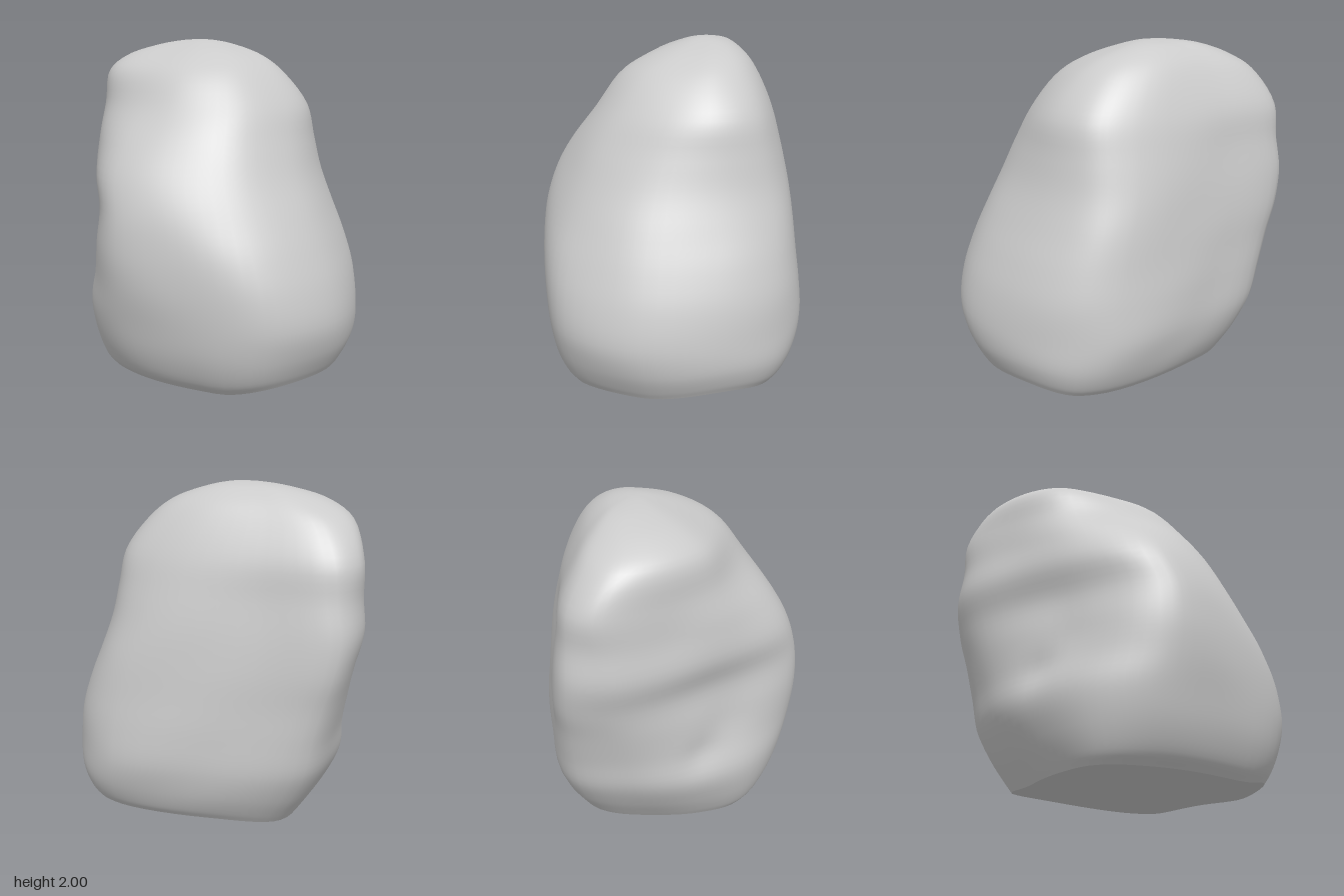
import * as THREE from 'three';
import { mergeVertices } from 'three/addons/utils/BufferGeometryUtils.js';

const AROUND = 72, UP = 64;

// Plan outlines at five heights: left, back, right, front (x, z pairs)
const outlines = [
  { y: 0, p: [-0.56, -0.02, -0.56, -0.4, -0.2, -0.61, 0.35, -0.73, 0.62, -0.64, 0.81, -0.38,
    0.88, 0, 0.74, 0.4, 0.35, 0.57, -0.05, 0.61, -0.36, 0.52, -0.5, 0.28] },
  { y: 0.4, p: [-0.8, -0.08, -0.78, -0.46, -0.3, -0.69, 0.3, -0.83, 0.6, -0.72, 0.86, -0.41,
    0.98, 0.05, 0.82, 0.5, 0.35, 0.72, -0.1, 0.78, -0.47, 0.59, -0.7, 0.26] },
  { y: 1.0, p: [-0.94, -0.18, -0.93, -0.46, -0.5, -0.61, 0.2, -0.76, 0.45, -0.69, 0.66, -0.41,
    0.79, 0.05, 0.65, 0.47, 0.3, 0.74, -0.05, 0.82, -0.42, 0.55, -0.71, 0.2] },
  { y: 1.6, p: [-0.96, -0.24, -0.88, -0.41, -0.45, -0.52, 0.1, -0.6, 0.36, -0.54, 0.5, -0.35,
    0.53, -0.08, 0.43, 0.25, 0.15, 0.45, -0.15, 0.48, -0.51, 0.36, -0.81, 0.06] },
  { y: 1.9, p: [-0.7, -0.14, -0.61, -0.29, -0.4, -0.36, -0.08, -0.42, 0.1, -0.38, 0.19, -0.28,
    0.2, -0.15, 0.16, 0.02, 0.03, 0.14, -0.2, 0.18, -0.48, 0.17, -0.65, 0.03] },
];

// Extents per height: y, xMin, xMax, zMin, zMax
const levels = [
  [0, -0.56, 0.87, -0.71, 0.6], [0.06, -0.6, 0.9, -0.75, 0.66], [0.2, -0.69, 0.95, -0.8, 0.73],
  [0.4, -0.79, 0.98, -0.83, 0.785], [0.6, -0.83, 0.95, -0.82, 0.82], [0.8, -0.88, 0.88, -0.79, 0.835],
  [1.0, -0.94, 0.79, -0.755, 0.82], [1.2, -0.98, 0.69, -0.71, 0.76], [1.4, -0.96, 0.61, -0.66, 0.64],
  [1.6, -0.96, 0.53, -0.6, 0.48], [1.8, -0.86, 0.37, -0.5, 0.34], [1.9, -0.7, 0.22, -0.42, 0.19],
  [1.97, -0.48, 0.02, -0.31, 0.01], [1.995, -0.3, -0.1, -0.21, -0.09],
];

// Hollows: x, y, z, radius, depth
const dents = [
  [-0.5, 0.76, 0.45, 0.2, 0.03], [-0.65, 0.57, 0.32, 0.11, 0.025],
  [-0.58, 1.08, 0.36, 0.28, 0.02], [-0.76, 1.42, 0.13, 0.2, 0.015],
];

const toLoop = (p) => {
  const pts = [];
  for (let i = 0; i < p.length; i += 2) pts.push(new THREE.Vector3(p[i], 0, p[i + 1]));
  return new THREE.CatmullRomCurve3(pts, true, 'centripetal');
};
const loops = outlines.map((o) => toLoop(o.p));

// One ring: blend neighbouring outlines, then fit them to the extents
function ring([y, x0, x1, z0, z1]) {
  let k = 0;
  while (k < outlines.length - 2 && y > outlines[k + 1].y) k++;
  const f = THREE.MathUtils.clamp((y - outlines[k].y) / (outlines[k + 1].y - outlines[k].y), 0, 1);
  const pts = [];
  for (let j = 0; j < AROUND; j++) {
    pts.push(loops[k].getPoint(j / AROUND).lerp(loops[k + 1].getPoint(j / AROUND), f));
  }
  const box = new THREE.Box3().setFromPoints(pts);
  return pts.map((p) => new THREE.Vector3(
    THREE.MathUtils.mapLinear(p.x, box.min.x, box.max.x, x0, x1), y,
    THREE.MathUtils.mapLinear(p.z, box.min.z, box.max.z, z0, z1)));
}

// Uneven surface: local dents, soft ripples and a base that lifts at the back and left
function weather(p) {
  const out = new THREE.Vector3(p.x, 0, p.z).normalize();
  let push = 0.005 * Math.sin(7 * p.x + 4 * p.y) * Math.sin(6 * p.y - 5 * p.z);
  for (const [x, y, z, r, depth] of dents) {
    const d2 = (p.x - x) ** 2 + (p.y - y) ** 2 + (p.z - z) ** 2;
    push -= depth * Math.exp(-d2 / (r * r));
  }
  const fade = THREE.MathUtils.smoothstep(2 - p.y, 0, 0.3);
  const lift = 0.065 * (THREE.MathUtils.smoothstep(-p.z, 0, 0.7)
    + THREE.MathUtils.smoothstep(p.x, 0.5, 0.88));
  p.addScaledVector(out, push * fade);
  p.y += lift * Math.max(0, 1 - p.y / 0.4);
  return p;
}

function build(positions, index) {
  const geo = new THREE.BufferGeometry();
  geo.setAttribute('position', new THREE.Float32BufferAttribute(positions, 3));
  geo.setIndex(index);
  const merged = mergeVertices(geo, 1e-5);
  merged.computeVertexNormals();
  return merged;
}

export function createModel() {
  const group = new THREE.Group();
  group.name = 'boulder';
  const material = new THREE.MeshStandardMaterial({ color: 0xcccccc });
  const rings = levels.map(ring);
  const top = new THREE.Vector3(-0.2, 2, -0.15);

  // Sides and crown: smooth columns running from the base to the top
  const pos = [], index = [], base = [];
  for (let j = 0; j < AROUND; j++) {
    const column = new THREE.CatmullRomCurve3([...rings.map((r) => r[j]), top], false, 'centripetal');
    for (let i = 0; i <= UP; i++) {
      const p = weather(column.getPoint(i / UP));
      if (i === 0) base.push(p);
      pos.push(p.x, p.y, p.z);
      if (i === UP) continue;
      const a = j * (UP + 1) + i, b = ((j + 1) % AROUND) * (UP + 1) + i;
      index.push(a, a + 1, b);
      if (i < UP - 1) index.push(b, a + 1, b + 1);
    }
  }
  const body = new THREE.Mesh(build(pos, index), material);
  body.name = 'rockBody';

  // Slightly hollow underside
  const under = [0.05, 0.03, 0], fan = [];
  base.forEach((p, j) => {
    under.push(p.x, p.y, p.z);
    fan.push(1 + j, 1 + (j + 1) % AROUND, 0);
  });
  const underside = new THREE.Mesh(build(under, fan), material);
  underside.name = 'underside';

  group.add(body, underside);
  return group;
}
